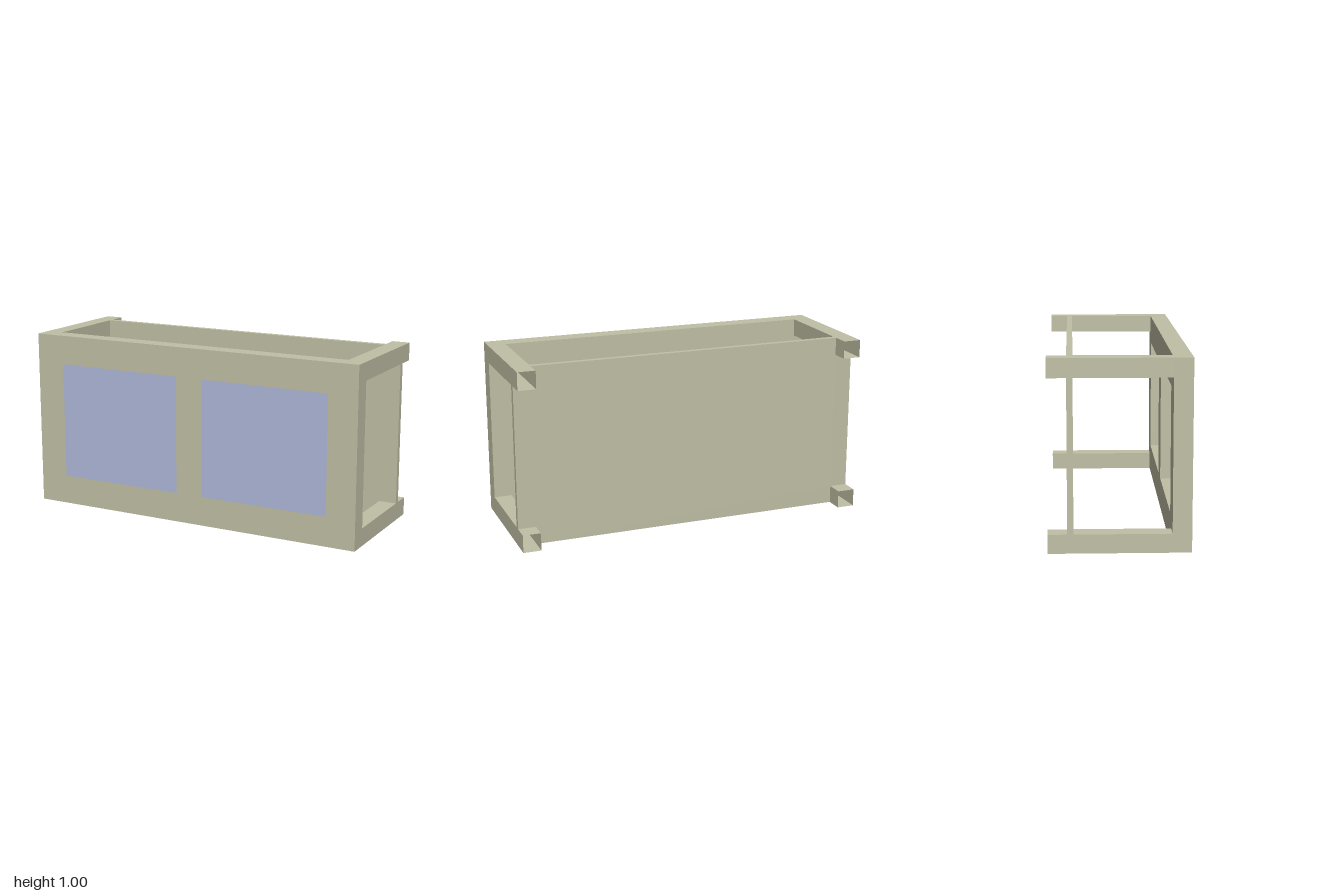
import * as THREE from 'three';

const W = 1, H = 1, BAR = 0.1;              // half width, height, bar thickness
const FRONT = 0.367, INNER = 0.267, BACK = -0.367;

const frameMat = new THREE.MeshStandardMaterial({ color: 0xc0bfa5, flatShading: true, side: THREE.DoubleSide });
const paneMat = new THREE.MeshStandardMaterial({ color: 0xafb8d9, side: THREE.DoubleSide });

// Closed outline from corner pairs
const outline = (pts, Type = THREE.Shape) => new Type(pts.map(([x, y]) => new THREE.Vector2(x, y)));
const rect = (x0, y0, x1, y1) => [[x0, y0], [x1, y0], [x1, y1], [x0, y1]];

function slab(name, shape, z0, z1) {
  const geo = new THREE.ExtrudeGeometry(shape, { depth: z1 - z0, bevelEnabled: false });
  const mesh = new THREE.Mesh(geo, frameMat);
  mesh.name = name;
  mesh.position.z = z0;
  return mesh;
}

export function createModel() {
  const model = new THREE.Group();
  model.name = 'windowBox';

  // Front wall with two window openings, each glazed flush with the face
  const wall = outline(rect(-W, 0, W, H));
  const winW = 0.75, winH = 0.667;
  for (const side of [-1, 1]) {
    const cx = side * 0.456;
    const y0 = (H - winH) / 2;
    wall.holes.push(outline(rect(cx - winW / 2, y0, cx + winW / 2, y0 + winH).reverse(), THREE.Path));
    const pane = new THREE.Mesh(new THREE.PlaneGeometry(winW, winH), paneMat);
    pane.name = side > 0 ? 'leftPane' : 'rightPane';
    pane.position.set(cx, H / 2, FRONT);
    model.add(pane);
  }
  model.add(slab('frontWall', wall, INNER, FRONT));

  // Thin back panel, notched at the corners to fit around the rails
  const a = W - BAR, t = H - BAR;
  const panel = outline([
    [-a, 0], [a, 0], [a, BAR], [W, BAR], [W, t], [a, t],
    [a, H], [-a, H], [-a, t], [-W, t], [-W, BAR], [-a, BAR],
  ]);
  model.add(slab('backPanel', panel, -0.267, -0.235));

  // Hollow square rails running back from the wall, open at the rear
  const len = INNER - BACK, r = BAR / Math.SQRT2;
  const railGeo = new THREE.CylinderGeometry(r, r, len, 4, 1, true).rotateY(Math.PI / 4).rotateX(Math.PI / 2);
  for (const x of [-1, 1]) {
    for (const y of [BAR / 2, H - BAR / 2]) {
      const rail = new THREE.Mesh(railGeo, frameMat);
      rail.name = (y > 0.5 ? 'upper' : 'lower') + (x > 0 ? 'Left' : 'Right') + 'Rail';
      rail.position.set(x * (W - BAR / 2), y, (INNER + BACK) / 2);
      model.add(rail);
    }
  }
  return model;
}
